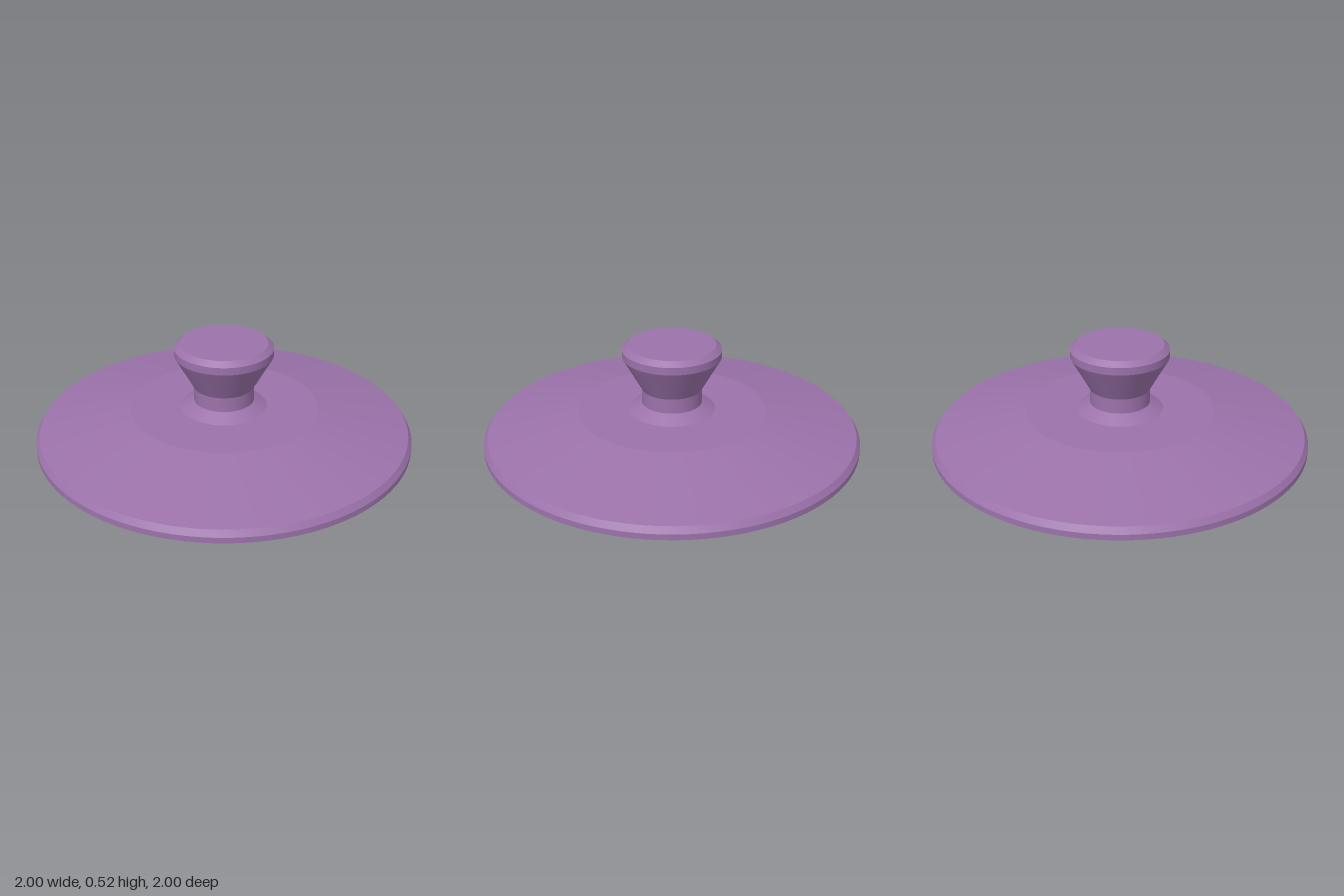
import * as THREE from 'three';
import { toCreasedNormals } from 'three/addons/utils/BufferGeometryUtils.js';

const SEGMENTS = 96;

// Turned part from [radius, height] pairs: round about the axis, crisp between bands
function turned(name, profile, material) {
  const points = profile.map(([r, y]) => new THREE.Vector2(r, y));
  const geometry = toCreasedNormals(new THREE.LatheGeometry(points, SEGMENTS), 0.12);
  const mesh = new THREE.Mesh(geometry, material);
  mesh.name = name;
  return mesh;
}

export function createModel() {
  const purple = new THREE.MeshStandardMaterial({ color: 0x9b72aa });
  purple.name = 'purple';

  const lid = new THREE.Group();
  lid.name = 'lid';

  // Disc: flat underside, chamfered rim, sloped shoulder and flat crown
  lid.add(turned('lidDisc', [
    [0, 0], [1, 0], [1, 0.03], [0.98, 0.06], [0.5, 0.16], [0.23, 0.16],
  ], purple));

  // Knob: flared foot, neck, widening grip and chamfered cap
  lid.add(turned('knob', [
    [0.23, 0.16], [0.16, 0.2], [0.16, 0.28], [0.26, 0.46],
    [0.26, 0.5], [0.23, 0.525], [0, 0.525],
  ], purple));

  return lid;
}
